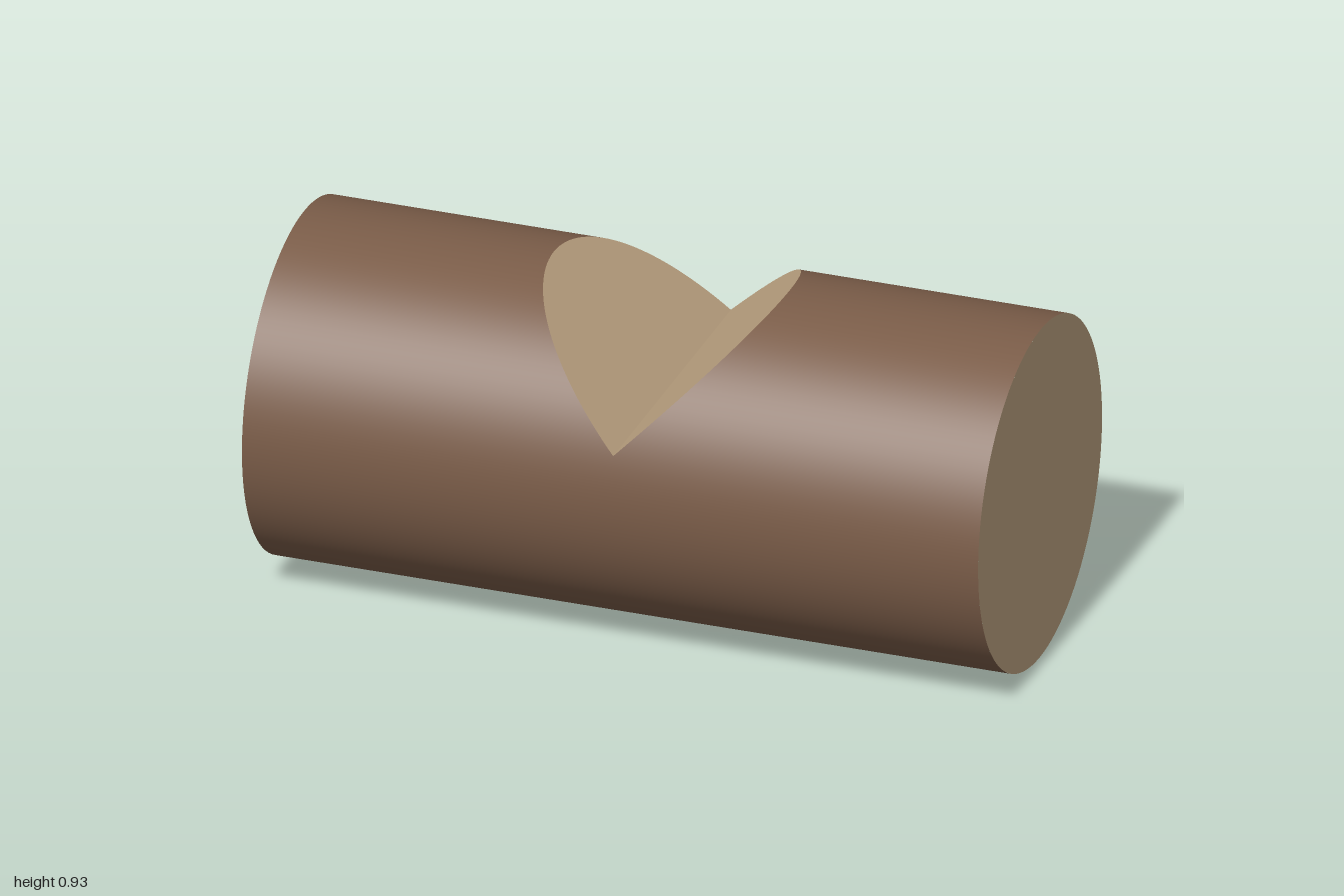
import * as THREE from 'three';

const R = 0.467;                      // log radius
const LENGTH = 2;
const NOTCH = 0.613 - R;              // height of the notch bottom above the axis
const ANGLE = Math.asin(NOTCH / R);   // where the notch bottom meets the bark

export function createModel() {
  const log = new THREE.Group();
  log.name = 'notchedLog';
  const bark = new THREE.MeshStandardMaterial({ color: 0x7a5c48 });
  const wood = new THREE.MeshStandardMaterial({ color: 0xbfa583 });

  const add = (name, geometry, material) => {
    const mesh = new THREE.Mesh(geometry, material);
    mesh.name = name;
    mesh.position.y = R;
    log.add(mesh);
  };

  // Open cylinder arc along x; angle 0 is +z, a quarter turn is up
  const barkArc = (length, segments, start, sweep) =>
    new THREE.CylinderGeometry(R, R, length, segments, 1, true, start, sweep).rotateZ(Math.PI / 2);

  // Bark below the notch, running the full length
  add('lowerBark', barkArc(LENGTH, 56, Math.PI - ANGLE, Math.PI + 2 * ANGLE), bark);

  // Circle segment cut away by the notch
  const segment = new THREE.Shape();
  segment.absarc(0, 0, R, ANGLE, Math.PI - ANGLE, false);

  for (const [side, label] of [[1, 'left'], [-1, 'right']]) {
    // Upper bark, its inner edge following the 45 degree cut
    const upper = barkArc(LENGTH / 2, 40, ANGLE, Math.PI - 2 * ANGLE).translate(side * LENGTH / 4, 0, 0);
    const p = upper.attributes.position;
    for (let i = 0; i < p.count; i++) {
      if (Math.abs(p.getX(i)) < 0.01) p.setX(i, side * (p.getY(i) - NOTCH));
    }
    add(label + 'UpperBark', upper, bark);

    // Sloping cut face of the notch
    const cut = new THREE.ShapeGeometry(segment, 40).rotateY(-side * Math.PI / 2);
    const c = cut.attributes.position;
    for (let i = 0; i < c.count; i++) c.setX(i, side * (c.getY(i) - NOTCH));
    cut.computeVertexNormals();
    add(label + 'NotchFace', cut, wood);

    // Sawn end
    const end = new THREE.CircleGeometry(R, 96).rotateY(side * Math.PI / 2);
    add(label + 'SawnEnd', end.translate(side * LENGTH / 2, 0, 0), wood);
  }
  return log;
}
